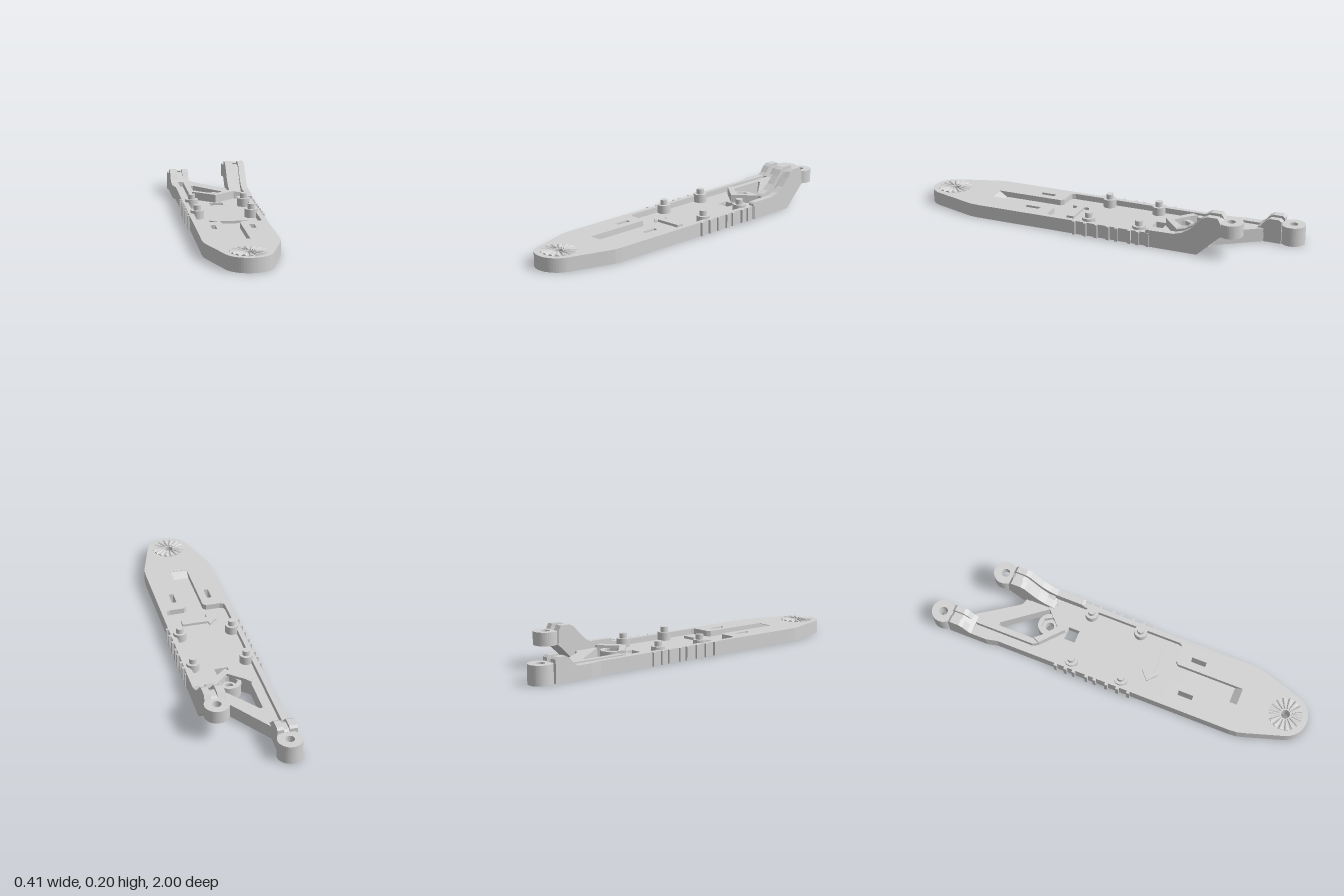
import * as THREE from 'three';

const grey = new THREE.MeshStandardMaterial({ color: 0xd2d2d2 });
grey.name = 'grey plastic';

// Plan points are [x, z]; negated z keeps the extrusion pointing up.
// Outlines run anticlockwise and holes clockwise so every wall faces outward.
const plan = (pts, hole = false) => {
  const v = pts.map(([x, z]) => new THREE.Vector2(x, -z));
  return THREE.ShapeUtils.isClockWise(v) === hole ? v : v.reverse();
};
const ring = (cx, cz, r, n = 32) => Array.from({ length: n }, (_, i) => {
  const t = (i / n) * Math.PI * 2;
  return [cx + r * Math.cos(t), cz + r * Math.sin(t)];
});
const rect = (x0, x1, z0, z1) => [[x0, z0], [x1, z0], [x1, z1], [x0, z1]];

export function createModel() {
  const model = new THREE.Group();
  model.name = 'mountingArm';

  const add = (name, geometry) => {
    const mesh = new THREE.Mesh(geometry, grey);
    mesh.name = name;
    model.add(mesh);
    return mesh;
  };
  // Slab cut from a plan outline between two heights
  const slab = (name, outline, holes, y0, y1) => {
    const shape = new THREE.Shape(plan(outline));
    holes.forEach((h) => shape.holes.push(new THREE.Path(plan(h, true))));
    const g = new THREE.ExtrudeGeometry(shape, { depth: y1 - y0, bevelEnabled: false });
    g.rotateX(-Math.PI / 2).translate(0, y0, 0);
    return add(name, g);
  };
  // Side profile of [z, y] points spanning x0 to x1
  const profile = (name, pts, x0, x1) => {
    const shape = new THREE.Shape(pts.map(([z, y]) => new THREE.Vector2(-z, y)));
    const g = new THREE.ExtrudeGeometry(shape, { depth: x1 - x0, bevelEnabled: false });
    g.rotateY(Math.PI / 2).translate(x0, 0, 0);
    return add(name, g);
  };

  const FLOOR = 0.041, TOP = 0.07, TIP = 0.885;

  // Outline: rounded tip, straight sides, long arm and diagonal brace
  const outline = [];
  for (let i = 0; i <= 24; i++) {
    const t = 0.3 + (i / 24) * (Math.PI - 0.6);
    outline.push([0.115 * Math.cos(t), TIP + 0.115 * Math.sin(t)]);
  }
  outline.push([-0.17, 0.73], [-0.181, 0.69], [-0.184, 0.65], [-0.184, -0.62], [-0.197, -0.68], [-0.197, -0.89],
    [-0.098, -0.89], [-0.098, -0.8], [0.04, -0.598], [0.055, -0.58], [0.085, -0.572],
    [0.085, -0.55], [0.184, -0.55], [0.184, 0.65], [0.181, 0.69], [0.17, 0.73]);

  const hub = ring(0, TIP, 0.023);
  const slots = [rect(-0.108, -0.084, 0.34, 0.42), rect(0.084, 0.108, 0.34, 0.42)];
  const opening = [[-0.1, -0.65], [-0.085, -0.65], [0.078, -0.44], [0.06, -0.415], [0, -0.362],
    [-0.075, -0.425], [-0.1, -0.45]];
  const squareHole = rect(-0.034, 0.034, -0.315, -0.255);
  const recess = [[-0.158, 0.25], [-0.152, 0.266], [-0.135, 0.272], [-0.06, 0.272], [-0.045, 0.287],
    [-0.045, 0.64], [0.045, 0.64], [0.045, 0.287], [0.06, 0.272], [0.135, 0.272], [0.152, 0.266],
    [0.158, 0.25], [0.158, -0.44], [0.128, -0.44], [0.115, -0.42], [0, -0.32], [-0.115, -0.42],
    [-0.13, -0.45], [-0.13, -0.78], [-0.158, -0.78]];

  slab('baseFloor', outline, [hub, ...slots, opening, squareHole], 0, FLOOR);
  slab('baseRim', outline, [hub, ...slots, opening, recess], FLOOR, TOP);
  profile('slotRamp', [[0.6, FLOOR], [0.64, FLOOR], [0.64, 0.068]], -0.045, 0.045);

  // Raised V wall around the nut boss
  slab('nutGuard', [[-0.115, -0.42], [0, -0.32], [0.115, -0.42], [0.1, -0.455], [0.078, -0.44],
    [0, -0.362], [-0.075, -0.425], [-0.1, -0.455]], [], TOP, 0.083);
  slab('nutBossBase', ring(0, -0.407, 0.06), [ring(0, -0.407, 0.022)], 0, FLOOR);
  slab('nutBossSocket', ring(0, -0.407, 0.06), [ring(0, -0.407, 0.043, 6)], FLOOR, 0.068);

  // Ridged radial teeth around the tip hole, widening outward
  const section = [[-0.013, 0], [0.013, 0], [0.004, 0.007], [-0.004, 0.007]];
  const toothGeometry = new THREE.ExtrudeGeometry(
    new THREE.Shape(section.map((p) => new THREE.Vector2(...p))), { depth: 0.055, bevelEnabled: false });
  const pos = toothGeometry.attributes.position;
  for (let i = 0; i < pos.count; i++) {
    const r = pos.getZ(i) + 0.03;
    pos.setXYZ(i, pos.getX(i) * (r / 0.085), pos.getY(i), r);
  }
  toothGeometry.computeVertexNormals();
  for (let i = 0; i < 16; i++) {
    const tooth = add('hubTooth', toothGeometry);
    tooth.position.set(0, TOP - 0.0005, TIP);
    tooth.rotation.y = (i / 16) * Math.PI * 2;
  }

  // Stepped posts
  const steps = [[0.034, FLOOR, 0.084], [0.019, 0.084, 0.11]];
  for (const x of [-0.138, 0.138]) for (const z of [-0.228, 0.045]) for (const [r, y0, y1] of steps) {
    add('post', new THREE.CylinderGeometry(r, r, y1 - y0, 28)).position.set(x, (y0 + y1) / 2, z);
  }

  // Direction arrow on the recess floor
  slab('arrow', [[-0.09, 0.167], [-0.04, 0.122], [-0.04, 0.148], [0.097, 0.148], [0.097, 0.186],
    [-0.04, 0.186], [-0.04, 0.212]], [], FLOOR - 0.001, FLOOR + 0.013);

  // Grip ribs on both sides
  for (const side of [-1, 1]) for (const z of [0.105, 0.045, -0.015, -0.08, -0.125, -0.195, -0.24, -0.295]) {
    add('gripRib', new THREE.BoxGeometry(0.014, TOP, 0.016)).position.set(side * 0.189, TOP / 2, z);
  }

  // Long arm: forked hump and pivot ring
  const hump = (h) => [[-0.765, 0.05], [-0.765, TOP], [-0.785, 0.082], [-0.81, h - 0.012], [-0.83, h],
    [-0.878, h], [-0.89, h - 0.01], [-0.89, 0.05]];
  profile('longArmHump', hump(0.124), -0.197, -0.157);
  profile('longArmHump', hump(0.124), -0.129, -0.097);
  profile('longArmWeb', hump(0.108), -0.157, -0.129);

  // Raised arm: two cheeks joined by a lower web
  const under = [[-0.67, 0.112], [-0.65, 0.095], [-0.55, 0]];
  const crest = [[-0.43, 0.09], [-0.47, 0.102], [-0.51, 0.126], [-0.55, 0.165], [-0.575, 0.193],
    [-0.6, 0.205], [-0.652, 0.205], [-0.667, 0.18]];
  const cheek = (z0) => [[z0, 0], [z0, 0.08], [z0 - 0.01, 0.088], ...crest, ...under];
  profile('raisedArmOuterCheek', cheek(-0.28), 0.158, 0.191);
  profile('raisedArmInnerCheek', cheek(-0.415), 0.087, 0.127);
  profile('raisedArmWeb', [[-0.43, 0], [-0.43, 0.045], [-0.47, 0.065], [-0.52, 0.105], [-0.56, 0.15],
    [-0.59, 0.18], [-0.61, 0.188], [-0.652, 0.188], [-0.667, 0.18], ...under], 0.127, 0.158);

  // Pivot rings with hexagonal sockets underneath
  const pivot = (name, x, z, y0, y1) => {
    const mid = y0 + 0.03;
    slab(name, ring(x, z, 0.061, 40), [ring(x, z, 0.038, 6)], y0, mid);
    slab(name, ring(x, z, 0.061, 40), [ring(x, z, 0.022)], mid, y1);
  };
  pivot('longArmPivot', -0.144, -0.939, 0, 0.097);
  pivot('raisedArmPivot', 0.142, -0.706, 0.113, 0.18);

  return model;
}
